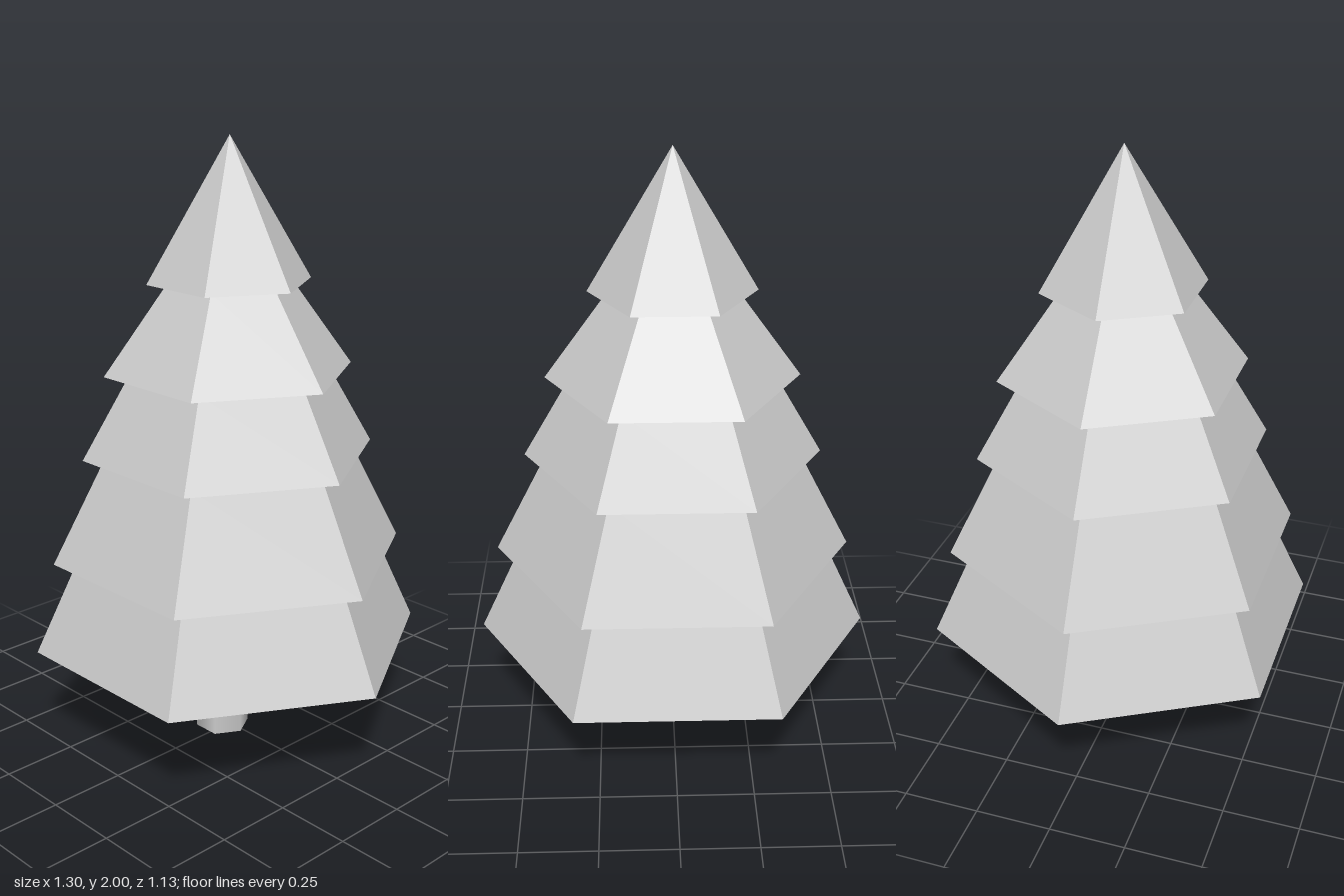
import * as THREE from 'three';

const SIDES = 6;

// Foliage tiers from bottom to top; inset and recess hollow the underside
const TIERS = [
  { y: 0.345, top: 0.65, r: 0.65, rTop: 0.51, inset: 0.08, recess: 0.075 },
  { y: 0.65, top: 0.995, r: 0.585, rTop: 0.41 },
  { y: 0.995, top: 1.265, r: 0.48, rTop: 0.325 },
  { y: 1.265, top: 1.55, r: 0.405, rTop: 0.2 },
  { y: 1.55, top: 2, r: 0.265, rTop: 0 },
];

// Closed hexagonal frustum with corners on the x axis
function tierGeometry({ y, top, r, rTop, inset = 0, recess = 0 }) {
  const profile = [[0, y + recess]];
  if (inset) profile.push([r - inset, y + recess]);
  profile.push([r, y], [rTop, top]);
  if (rTop) profile.push([0, top]);
  const points = profile.map(([px, py]) => new THREE.Vector2(px, py));
  return new THREE.LatheGeometry(points, SIDES, Math.PI / 2);
}

export function createModel() {
  const model = new THREE.Group();
  model.name = 'pineTree';

  const foliageMaterial = new THREE.MeshStandardMaterial({ color: 0xcccccc, flatShading: true });
  const trunkMaterial = new THREE.MeshStandardMaterial({ color: 0xcccccc });

  // Foliage
  const foliage = new THREE.Group();
  foliage.name = 'foliage';
  TIERS.forEach((tier, i) => {
    const mesh = new THREE.Mesh(tierGeometry(tier), foliageMaterial);
    mesh.name = `foliageTier${i + 1}`;
    foliage.add(mesh);
  });
  model.add(foliage);

  // Trunk, slightly off centre, reaching into the lowest tier
  const height = 0.5;
  const trunk = new THREE.Mesh(
    new THREE.CylinderGeometry(0.09, 0.09, height, SIDES, 1, false, Math.PI / 2),
    trunkMaterial
  );
  trunk.name = 'trunk';
  trunk.position.set(-0.023, height / 2, 0.013);
  model.add(trunk);

  return model;
}
